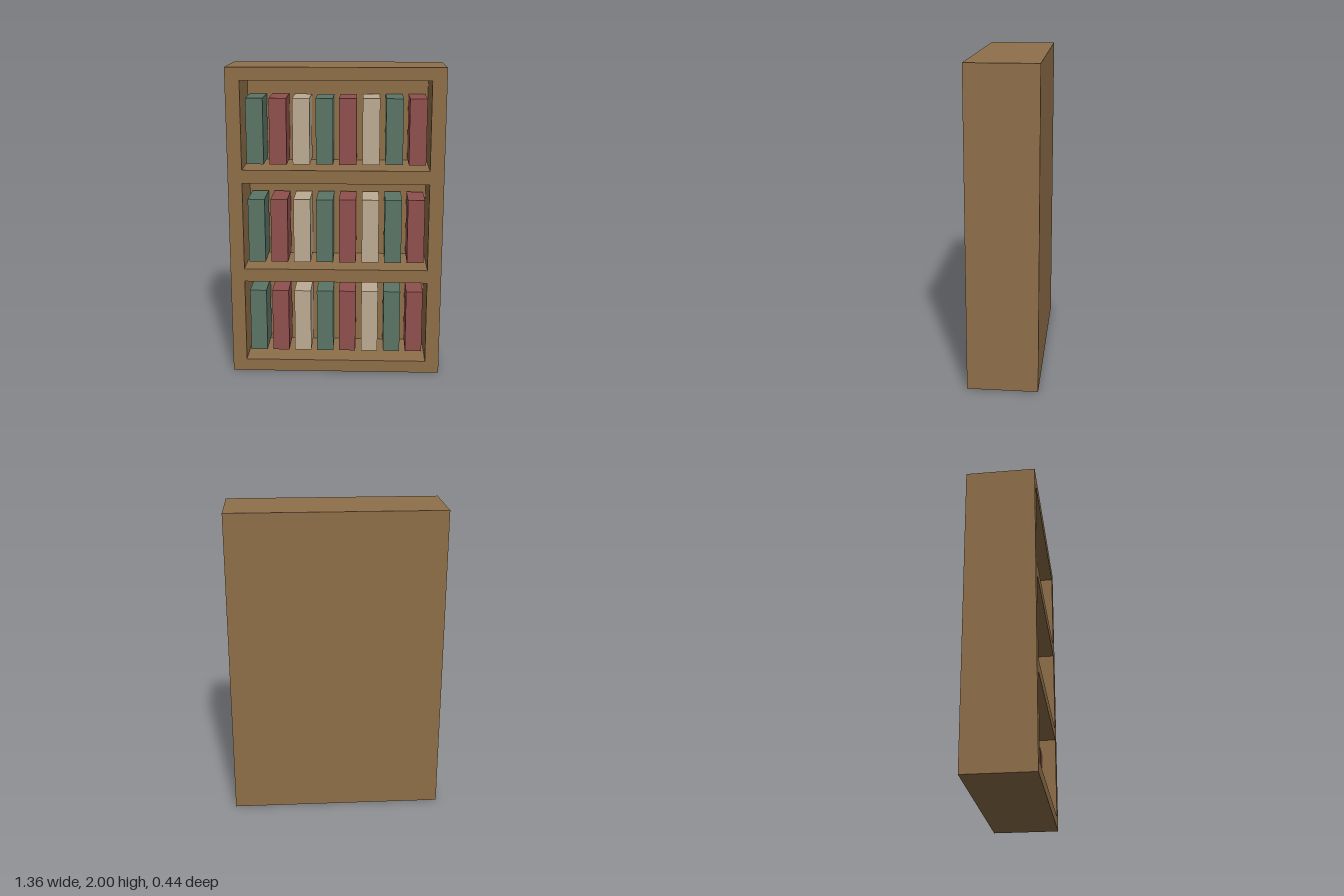
import * as THREE from 'three';

const mat = (name, color) => {
  const m = new THREE.MeshStandardMaterial({ color });
  m.name = name;
  return m;
};

export function createModel() {
  const group = new THREE.Group();
  group.name = 'bookcase';
  const wood = mat('brown wood', 0x8f6f49);
  const covers = [mat('green cover', 0x5b7564), mat('red cover', 0x8f504e), mat('cream cover', 0xbdac93)];

  const W = 0.68, H = 2, D = 0.22, inner = 0.59, backZ = -0.15;
  const bays = [
    { floor: 0.08, ceiling: 0.625, book: 0.11 },
    { floor: 0.71, ceiling: 1.275, book: 0.73 },
    { floor: 1.36, ceiling: 1.92, book: 1.38 },
  ];
  const rect = (target, x0, y0, x1, y1) =>
    target.moveTo(x0, y0).lineTo(x1, y0).lineTo(x1, y1).lineTo(x0, y1).closePath();

  // Frame with three open bays
  const outline = rect(new THREE.Shape(), -W, 0, W, H);
  for (const b of bays) outline.holes.push(rect(new THREE.Path(), -inner, b.floor, inner, b.ceiling));
  const frame = new THREE.Mesh(
    new THREE.ExtrudeGeometry(outline, { depth: D - backZ, bevelEnabled: false }), wood);
  frame.position.z = backZ;
  frame.name = 'frame';
  group.add(frame);

  // Back panel closing the bays
  const panel = new THREE.Mesh(new THREE.BoxGeometry(2 * W, H, D + backZ), wood);
  panel.position.set(0, H / 2, (backZ - D) / 2);
  panel.name = 'backPanel';
  group.add(panel);

  // Eight books in each bay, cycling through the cover colours
  const bookH = 0.42, bookW = 0.109, bookD = 0.25, bookFront = 0.125;
  const bookGeo = new THREE.BoxGeometry(bookW, bookH, bookD);
  bays.forEach((b, row) => {
    const books = new THREE.Group();
    books.name = `bookRow${row + 1}`;
    for (let i = 0; i < 8; i++) {
      const book = new THREE.Mesh(bookGeo, covers[i % 3]);
      book.position.set((i - 3.5) * 0.1475, b.book + bookH / 2, bookFront - bookD / 2);
      book.name = `book${i + 1}`;
      books.add(book);
    }
    group.add(books);
  });
  return group;
}
